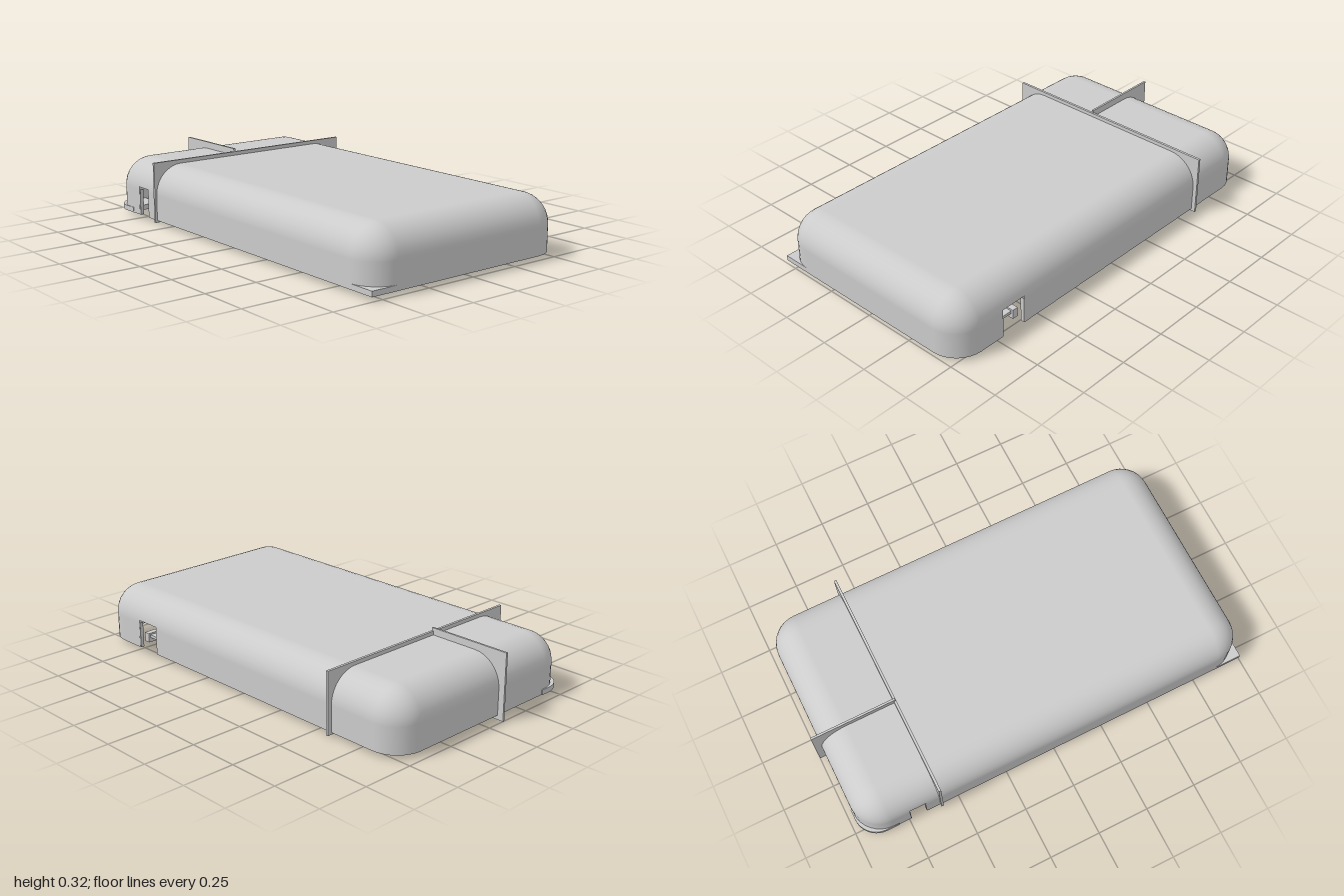
import * as THREE from 'three';

const R = 0.14, WALL = 0.02, BASE = 0.02, SPRING = 0.145;   // fillet radius, wall, base height, fillet start
const X0 = -0.415, X1 = 0.4, Z0 = -0.83, Z1 = 0.86;         // corner centres
const PORT = [0.6, 0.73], SLOT = [-0.74, -0.66];            // openings along z
const SEG = 8, OPEN_ANGLE = 0.107;                          // openings end just above the fillet start

// Fillet centres and outward directions around the case
function perimeter() {
  const list = [];
  const corner = (x, z, k) => {
    for (let i = 0; i <= SEG; i++) {
      const t = (k + i / SEG) * Math.PI / 2;
      list.push({ x, z, dx: Math.cos(t), dz: Math.sin(t) });
    }
  };
  corner(X1, Z1, 0);
  corner(X0, Z1, 1);
  list.push({ x: X0, z: SLOT[1], dx: -1, dz: 0, open: true }, { x: X0, z: SLOT[0], dx: -1, dz: 0 });
  corner(X0, Z0, 2);
  corner(X1, Z0, 3);
  list.push({ x: X1, z: PORT[0], dx: 1, dz: 0, open: true }, { x: X1, z: PORT[1], dx: 1, dz: 0 });
  return list;
}

// One skin of the rounded cover, with the side openings left out
function skin(r, inward) {
  const ring = perimeter(), n = ring.length, s = inward ? -1 : 1;
  const rows = [{ a: 0, y: BASE }, { a: 0, y: SPRING }, { a: OPEN_ANGLE }];
  for (let i = 1; i <= SEG; i++) rows.push({ a: OPEN_ANGLE + (Math.PI / 2 - OPEN_ANGLE) * i / SEG });
  const pos = [], nor = [], idx = [];
  for (const { a, y } of rows) {
    const c = Math.cos(a), h = Math.sin(a);
    for (const p of ring) {
      pos.push(p.x + p.dx * r * c, y ?? SPRING + r * h, p.z + p.dz * r * c);
      nor.push(s * p.dx * c, s * h, s * p.dz * c);
    }
  }
  const tri = (a, b, c) => inward ? idx.push(a, c, b) : idx.push(a, b, c);
  for (let k = 0; k < rows.length - 1; k++) {
    for (let i = 0; i < n; i++) {
      if (ring[i].open && k < 2) continue;
      const j = (i + 1) % n, b = k * n, t = b + n;
      tri(b + j, b + i, t + i);
      tri(b + j, t + i, t + j);
    }
  }
  // Flat top
  const mid = pos.length / 3, last = (rows.length - 1) * n;
  pos.push((X0 + X1) / 2, SPRING + r, (Z0 + Z1) / 2);
  nor.push(0, s, 0);
  for (let i = 0; i < n; i++) tri(mid, last + (i + 1) % n, last + i);
  const g = new THREE.BufferGeometry();
  g.setAttribute('position', new THREE.Float32BufferAttribute(pos, 3));
  g.setAttribute('normal', new THREE.Float32BufferAttribute(nor, 3));
  g.setIndex(idx);
  return g;
}

export function createModel() {
  const model = new THREE.Group();
  const mat = new THREE.MeshStandardMaterial({ color: 0xcccccc });
  const add = (name, geometry, parent = model) => {
    const m = new THREE.Mesh(geometry, mat);
    m.name = name;
    parent.add(m);
    return m;
  };
  // Box given by its limits on each axis
  const box = (name, x, y, z, parent) => {
    const m = add(name, new THREE.BoxGeometry(x[1] - x[0], y[1] - y[0], z[1] - z[0]), parent);
    m.position.set((x[0] + x[1]) / 2, (y[0] + y[1]) / 2, (z[0] + z[1]) / 2);
  };

  // Hollow rounded cover
  const cover = new THREE.Group();
  cover.name = 'cover';
  model.add(cover);
  add('coverOutside', skin(R, false), cover);
  add('coverInside', skin(R - WALL, true), cover);

  // Edges of the side openings
  const top = SPRING + R * Math.sin(OPEN_ANGLE);
  const frame = (name, x, z) => {
    const e = 0.002;
    for (const side of z) box(name + 'Jamb', x, [BASE, SPRING], [side - e, side + e], cover);
    box(name + 'Lintel', x, [top - e, top + e], z, cover);
  };
  frame('port', [X1 + R - WALL, X1 + R - 0.002], PORT);
  frame('slot', [X0 - R + 0.002, X0 - R + WALL], SLOT);

  // Underside panel
  const outline = perimeter().map(p => new THREE.Vector2(p.x + p.dx * R, p.z + p.dz * R));
  add('basePanel', new THREE.ShapeGeometry(new THREE.Shape(outline)).rotateX(Math.PI / 2)).position.y = BASE;

  // Square front corner and tighter back corner of the base
  box('frontCornerTab', [-0.555, -0.41], [BASE, 0.045], [0.86, 1]);
  const c = new THREE.Shape();
  c.moveTo(-0.4, -0.83);
  c.lineTo(-0.557, -0.8);
  c.lineTo(-0.557, -0.865);
  c.absarc(-0.447, -0.865, 0.11, Math.PI, Math.PI * 1.5, false);
  c.lineTo(-0.4, -0.975);
  add('backCornerTab', new THREE.ExtrudeGeometry(c, { depth: 0.025, bevelEnabled: false, curveSegments: 8 })
    .rotateX(Math.PI / 2)).position.y = 0.045;

  // Small connector behind the port
  const connector = new THREE.Group();
  connector.name = 'connector';
  model.add(connector);
  for (const z of [0.61, 0.7]) box('connectorPost', [0.45, 0.51], [0.045, 0.09], [z, z + 0.03], connector);
  box('connectorBar', [0.45, 0.5], [0.068, 0.082], [0.63, 0.71], connector);

  // Thin crossing divider plates
  box('crossPlate', [-0.565, 0.56], [0.01, 0.303], [-0.593, -0.581]);
  box('lengthwisePlate', [-0.1, -0.09], [0, 0.318], [-1, -0.585]);
  return model;
}
